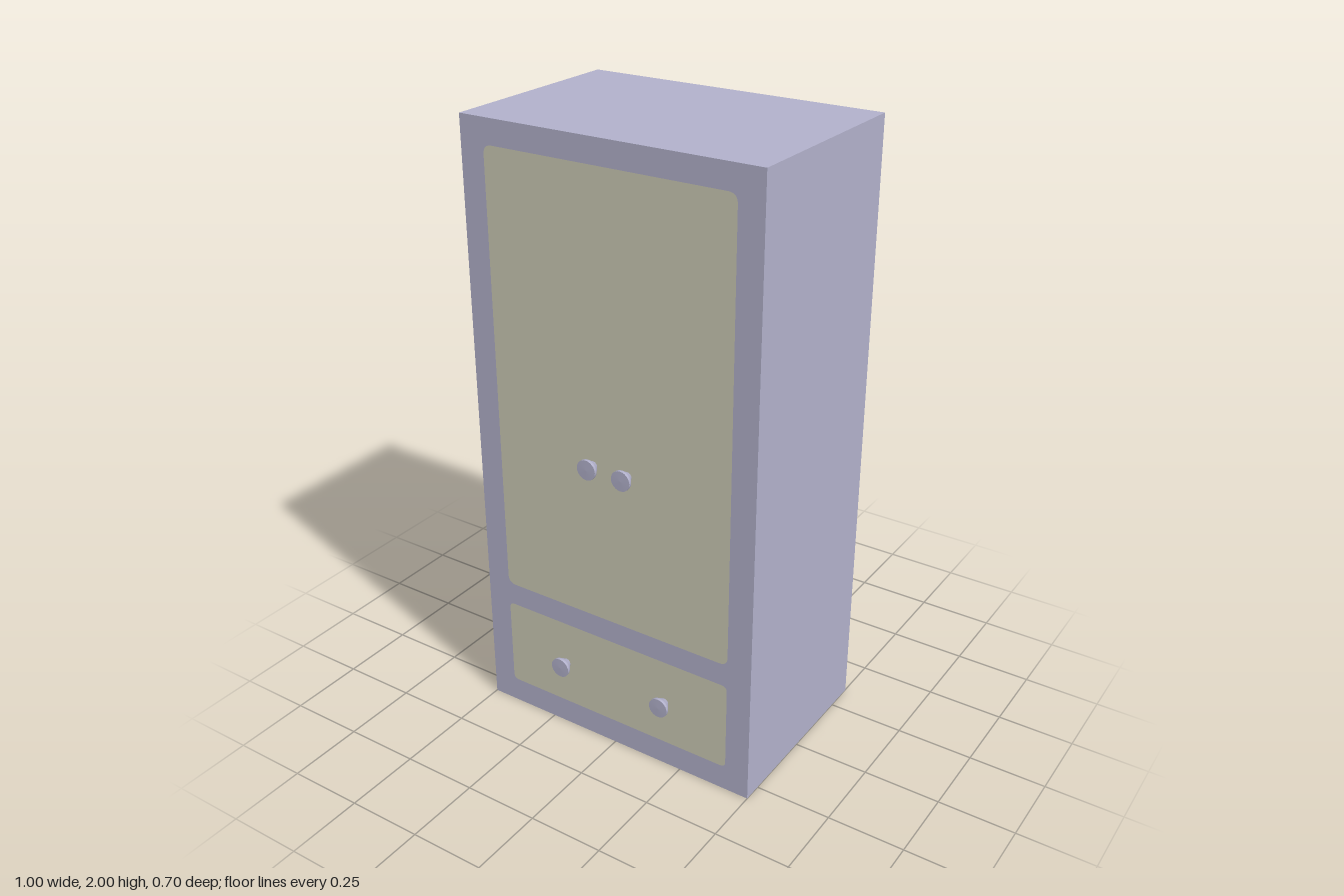
import * as THREE from 'three';

const W = 1, H = 2, BACK = -0.35, FRONT = 0.313;
const D = FRONT - BACK, MID = (FRONT + BACK) / 2;

// Rectangle with rounded corners, used for both openings and panels
function roundedRect(target, x0, y0, x1, y1, r) {
  target.moveTo(x0 + r, y0);
  target.lineTo(x1 - r, y0);
  target.quadraticCurveTo(x1, y0, x1, y0 + r);
  target.lineTo(x1, y1 - r);
  target.quadraticCurveTo(x1, y1, x1 - r, y1);
  target.lineTo(x0 + r, y1);
  target.quadraticCurveTo(x0, y1, x0, y1 - r);
  target.lineTo(x0, y0 + r);
  target.quadraticCurveTo(x0, y0, x0 + r, y0);
  return target;
}

export function createModel() {
  const group = new THREE.Group();
  group.name = 'wardrobe';

  const body = new THREE.MeshStandardMaterial({ color: 0xb2b1cb, side: THREE.DoubleSide });
  body.name = 'lavender';
  const panel = new THREE.MeshStandardMaterial({ color: 0xcccbb6, side: THREE.DoubleSide });
  panel.name = 'paleOlive';

  const add = (name, geometry, material) => {
    const mesh = new THREE.Mesh(geometry, material);
    mesh.name = name;
    group.add(mesh);
    return mesh;
  };

  // Thin shell, open underneath
  add('back', new THREE.PlaneGeometry(W, H).rotateY(Math.PI).translate(0, H / 2, BACK), body);
  add('top', new THREE.PlaneGeometry(W, D).rotateX(-Math.PI / 2).translate(0, H, MID), body);
  for (const [name, s] of [['leftSide', 1], ['rightSide', -1]]) {
    add(name, new THREE.PlaneGeometry(D, H).rotateY(s * Math.PI / 2).translate(s * W / 2, H / 2, MID), body);
  }

  // Front frame with flush door and drawer panels
  const frame = new THREE.Shape([
    new THREE.Vector2(-W / 2, 0), new THREE.Vector2(W / 2, 0),
    new THREE.Vector2(W / 2, H), new THREE.Vector2(-W / 2, H),
  ]);
  const panels = [
    ['doorPanel', -0.418, 0.467, 0.418, 1.922, 0.03],
    ['drawerPanel', -0.418, 0.085, 0.418, 0.39, 0.02],
  ];
  for (const [name, ...rect] of panels) {
    frame.holes.push(roundedRect(new THREE.Path(), ...rect));
    add(name, new THREE.ShapeGeometry(roundedRect(new THREE.Shape(), ...rect)).translate(0, 0, FRONT), panel);
  }
  add('frontFrame', new THREE.ShapeGeometry(frame).translate(0, 0, FRONT), body);

  // Flared knobs; repeated points keep the rims sharp
  const profile = [
    [0, 0.306], [0.014, 0.306], [0.014, 0.306], [0.016, 0.315],
    [0.032, 0.338], [0.033, 0.342], [0.033, 0.349], [0.033, 0.349], [0, 0.35],
  ].map(([r, z]) => new THREE.Vector2(r, z));
  const knob = new THREE.LatheGeometry(profile, 24).rotateX(Math.PI / 2);
  for (const [name, x, y] of [['DoorKnob', 0.062, 1.003], ['DrawerKnob', 0.191, 0.238]]) {
    add('left' + name, knob, body).position.set(x, y, 0);
    add('right' + name, knob, body).position.set(-x, y, 0);
  }

  return group;
}
